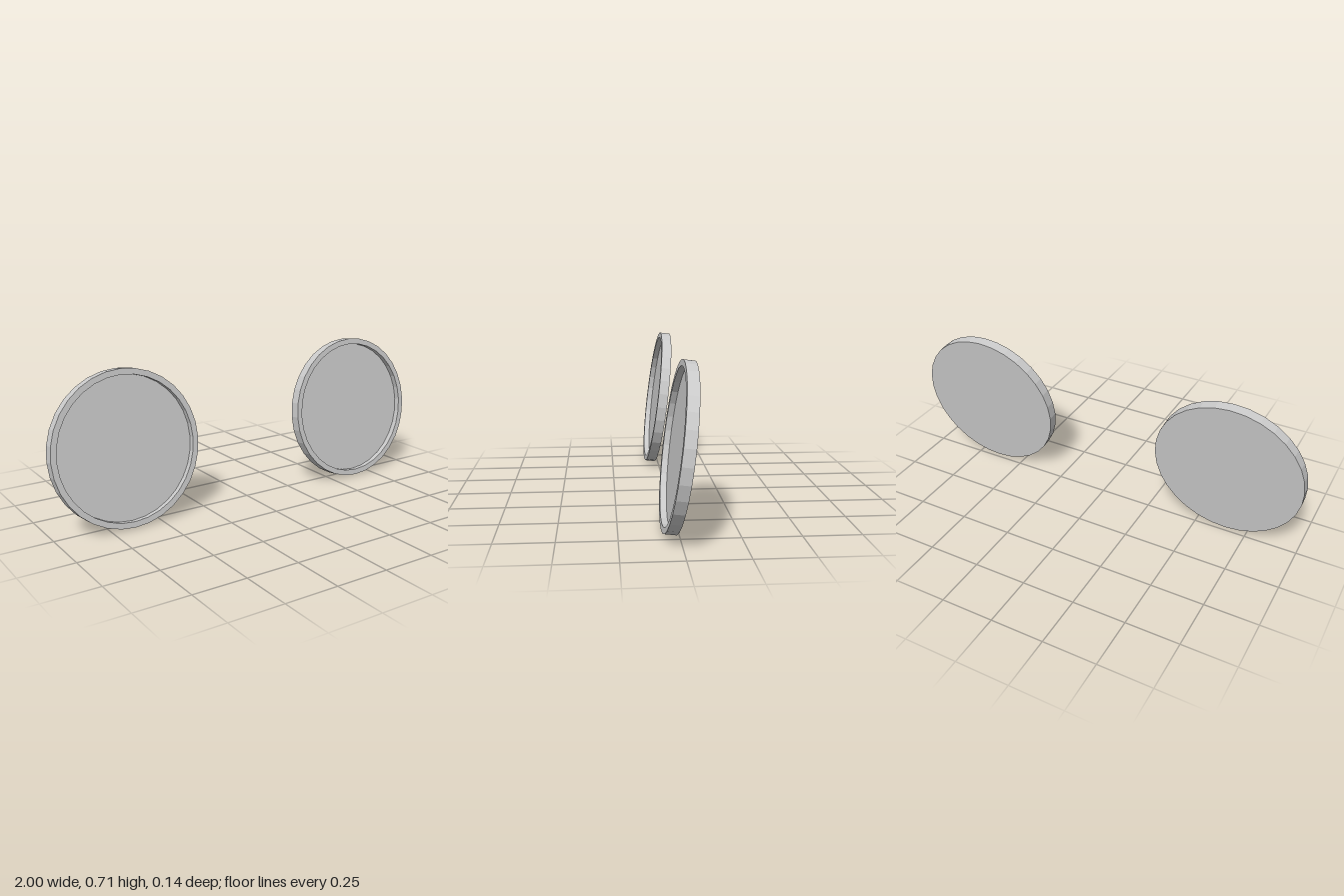
import * as THREE from 'three';

const RADIUS = 0.357, INNER = 0.33, HALF = 0.025, DEPTH = 0.028;

// Shallow round dish: flat back, raised rim and a recessed front floor
function dishGeometry() {
  const profile = [
    [0, -HALF], [RADIUS, -HALF], [RADIUS, HALF],
    [INNER, HALF], [INNER, HALF - DEPTH], [0, HALF - DEPTH],
  ].map(([r, y]) => new THREE.Vector2(r, y));
  return new THREE.LatheGeometry(profile, 32).rotateX(Math.PI / 2);
}

export function createModel() {
  const model = new THREE.Group();
  model.name = 'dishPair';
  const material = new THREE.MeshStandardMaterial({ color: 0xcccccc, flatShading: true });
  const geometry = dishGeometry();

  // Two matching dishes, leaning back
  for (const [name, side] of [['leftDish', 1], ['rightDish', -1]]) {
    const dish = new THREE.Mesh(geometry, material);
    dish.name = name;
    dish.position.set(side * 0.643, 0.358, 0);
    dish.rotation.set(THREE.MathUtils.degToRad(-7.4), THREE.MathUtils.degToRad(0.5), 0);
    model.add(dish);
  }
  return model;
}
